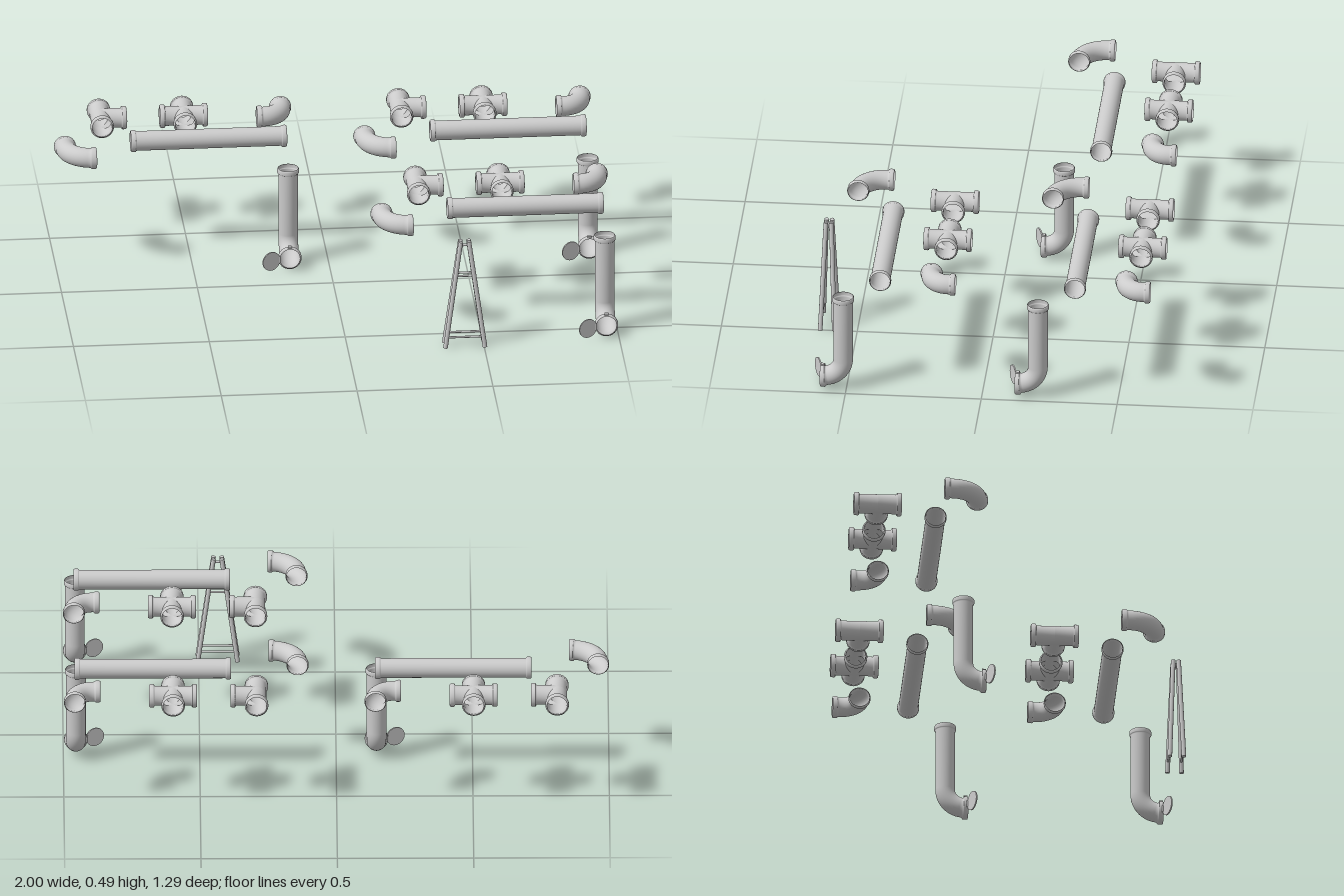
import * as THREE from 'three';

const SEG = 32, R = 0.036, COLLAR = 0.0405, WIDE = 0.043, Y = 0.447;
const V = (x, y, z) => new THREE.Vector3(x, y, z);
const X = V(1, 0, 0), UP = V(0, 1, 0), Z = V(0, 0, 1);
const material = new THREE.MeshStandardMaterial({ color: 0xcccccc, side: THREE.DoubleSide });

function add(parent, geometry, name) {
  const mesh = new THREE.Mesh(geometry, material);
  mesh.name = name;
  parent.add(mesh);
  return mesh;
}

// circle of points round an axis; mitre slides each point along the axis
function ring(center, dir, normal, r, mitre) {
  const side = normal.clone().cross(dir);
  return Array.from({ length: SEG }, (_, i) => {
    const a = (i / SEG) * Math.PI * 2;
    const off = normal.clone().multiplyScalar(r * Math.cos(a)).addScaledVector(side, r * Math.sin(a));
    const slide = mitre ? mitre(off) : 0;
    return off.add(center).addScaledVector(dir, slide);
  });
}

// skin over successive rings
function loft(rings) {
  const index = [];
  for (let i = 0; i < rings.length - 1; i++) {
    for (let j = 0; j < SEG; j++) {
      const k = (j + 1) % SEG, a = i * SEG, b = a + SEG;
      index.push(a + j, b + j, a + k, a + k, b + j, b + k);
    }
  }
  const g = new THREE.BufferGeometry().setFromPoints(rings.flat());
  g.setIndex(index);
  g.computeVertexNormals();
  return g;
}

// raised lip: distance from the open end, radius
const lip = (c) => [[0.021, R], [0.018, c - 0.001], [0.016, c], [0.005, c], [0.001, c - 0.002], [0, R + 0.001]];

// pipe running straight, optionally turning 90 degrees from d0 to d1, with a lip at both ends
function pipe({ start, d0, d1 = X, normal = UP, lead, bend = 0, tail = 0, c0 = COLLAR, c1 = COLLAR }) {
  const arc = bend * Math.PI / 2, total = lead + arc + tail;
  const at = (s, r) => {
    const phi = bend ? THREE.MathUtils.clamp((s - lead) / bend, 0, Math.PI / 2) : 0;
    const p = start.clone()
      .addScaledVector(d0, Math.min(s, lead) + bend * Math.sin(phi))
      .addScaledVector(d1, bend * (1 - Math.cos(phi)) + Math.max(0, s - lead - arc));
    const dir = d0.clone().multiplyScalar(Math.cos(phi)).addScaledVector(d1, Math.sin(phi));
    return ring(p, dir, normal, r);
  };
  const rings = lip(c0).reverse().map(([t, r]) => at(t, r));
  if (bend) {
    for (let i = 0; i <= 14; i++) {
      const s = lead + (arc * i) / 14;
      if (s > 0.023 && s < total - 0.023) rings.push(at(s, R));
    }
  }
  lip(c1).forEach(([t, r]) => rings.push(at(total - t, r)));
  return loft(rings);
}

// one arm of a tee or cross, mitred where it meets its neighbours
function arm(dir, length, mitre) {
  const at = (s, r, m) => ring(dir.clone().multiplyScalar(s), dir, UP, r, m);
  return loft([at(0, R, mitre), ...lip(WIDE).map(([t, r]) => at(length - t, r))]);
}

function fitting(name, x, z, arms) {
  const g = new THREE.Group();
  g.name = name;
  g.position.set(x, Y, z);
  arms.forEach(([dir, length, mitre]) => add(g, arm(dir, length, mitre), name + 'Arm'));
  return g;
}

function pipeSet() {
  const g = new THREE.Group();
  g.name = 'pipeSet';
  const negX = V(-1, 0, 0), negZ = V(0, 0, -1);

  // tee: the half away from the branch is a plain tube
  const half = (o) => Math.max(0, o.x), acrossZ = (o) => Math.abs(o.z), acrossX = (o) => Math.abs(o.x);
  g.add(fitting('teeFitting', 0.294, 0.157, [[Z, 0.088, half], [negZ, 0.088, half], [X, 0.096, acrossZ]]));
  g.add(fitting('crossFitting', 0.6, 0.157,
    [[Z, 0.088, acrossX], [negZ, 0.088, acrossX], [X, 0.088, acrossZ], [negX, 0.088, acrossZ]]));

  // elbows and the long straight pipe
  add(g, pipe({ start: V(0.96, Y, 0.098), d0: Z, d1: negX, lead: 0.025, bend: 0.07, tail: 0.024 }), 'smallElbow');
  add(g, pipe({ start: V(0.142, Y, 0.394), d0: Z, d1: X, lead: 0.025, bend: 0.1, tail: 0.006 }), 'largeElbow');
  add(g, pipe({ start: V(0.386, Y, 0.376), d0: X, lead: 0.574 }), 'longPipe');

  // upright drain pipe with an open hinged lid
  const drain = new THREE.Group();
  drain.name = 'drainPipe';
  g.add(drain);
  add(drain, pipe({ start: V(0.954, 0.378, 0.512), d0: V(0, -1, 0), d1: Z, normal: X,
    lead: 0.258, bend: 0.07, tail: 0.014, c1: WIDE }), 'drainBody');
  const lidGeometry = new THREE.CylinderGeometry(0.036, 0.036, 0.005, SEG).rotateX(Math.PI / 2).rotateY(0.417);
  add(drain, lidGeometry, 'drainLid').position.set(0.884, 0.048, 0.608);
  add(drain, new THREE.CylinderGeometry(0.005, 0.005, 0.024, 10), 'lidHinge').position.set(0.914, 0.048, 0.593);
  add(drain, new THREE.BoxGeometry(0.014, 0.008, 0.014), 'lidCatch').position.set(0.954, 0.093, 0.587);
  return g;
}

function rod(parent, a, b, r, name) {
  const mesh = add(parent, new THREE.CylinderGeometry(r, r, a.distanceTo(b), 12), name);
  mesh.position.copy(a).lerp(b, 0.5);
  mesh.quaternion.setFromUnitVectors(UP, b.clone().sub(a).normalize());
}

// splayed stand of four legs with cross bars
function stand() {
  const g = new THREE.Group();
  g.name = 'stand';
  g.position.set(0.43, 0, 0.61);
  const top = 0.416;
  const leg = (sx, sz, y) => {
    const t = y / top;
    return V(sx * THREE.MathUtils.lerp(0.073, 0.015, t), y, sz * THREE.MathUtils.lerp(0.026, 0.01, t));
  };
  for (const sz of [-1, 1]) {
    for (const sx of [-1, 1]) rod(g, leg(sx, sz, 0.002), leg(sx, sz, top), 0.0085, 'standLeg');
    for (const y of [0.043, 0.283]) rod(g, leg(-1, sz, y), leg(1, sz, y), 0.004, 'standBar');
  }
  rod(g, leg(-1, 0, 0.4), leg(1, 0, 0.4), 0.005, 'standPin');
  return g;
}

export function createModel() {
  const model = new THREE.Group();
  model.name = 'pipeCollection';
  for (const [x, z] of [[0, 0], [0, -0.717], [-1.102, -0.717]]) {
    const set = pipeSet();
    set.position.set(x, 0, z);
    model.add(set);
  }
  model.add(stand());
  return model;
}
